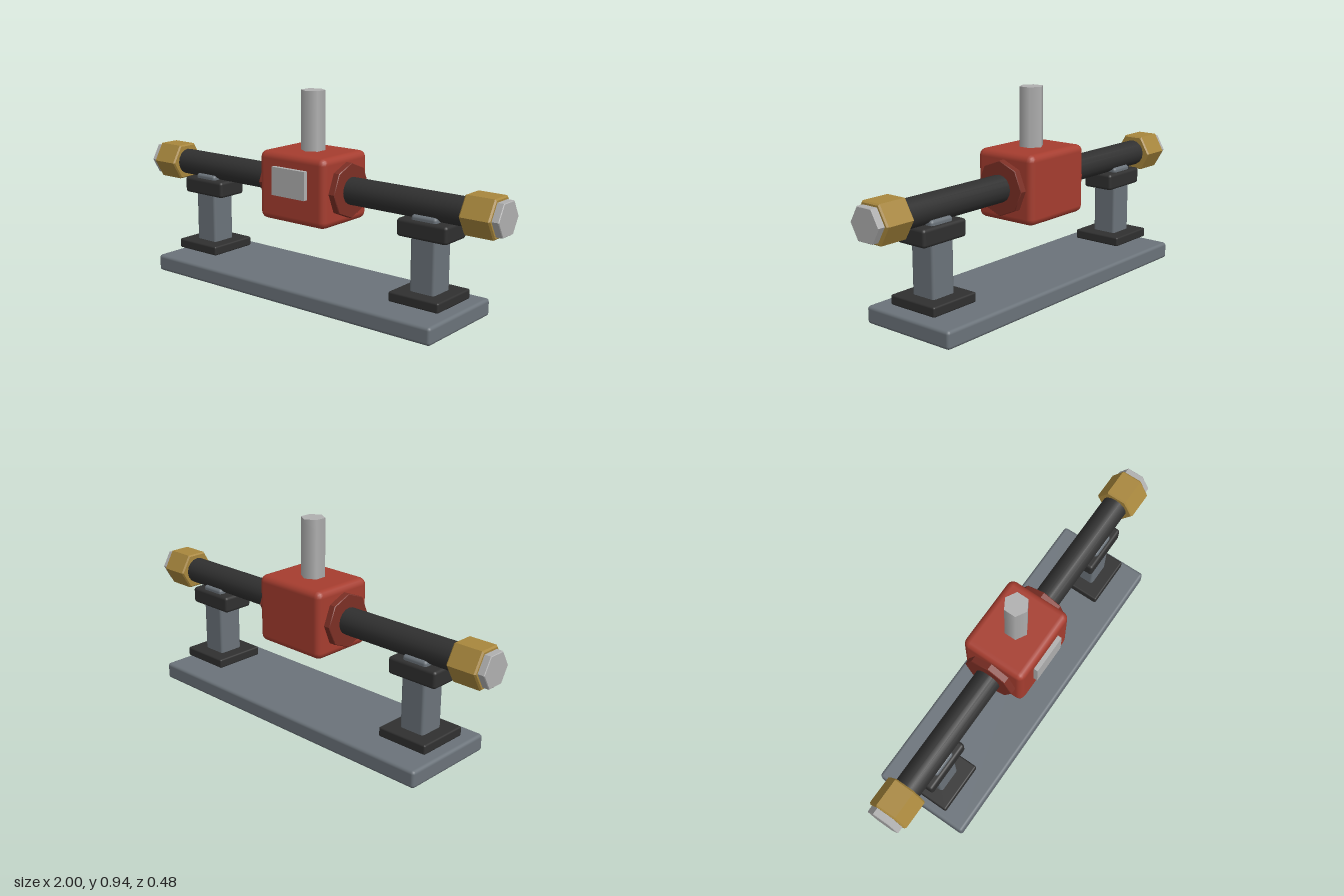
import * as THREE from 'three';
import { RoundedBoxGeometry } from 'three/addons/geometries/RoundedBoxGeometry.js';
import { toCreasedNormals } from 'three/addons/utils/BufferGeometryUtils.js';

const AXIS_Y = 0.515; // height of the pipe axis

function material(name, color) {
  const m = new THREE.MeshStandardMaterial({ color });
  m.name = name;
  return m;
}

export function createModel() {
  const red = material('body red', 0xa63d2f);
  const darkRed = material('flange dark red', 0x7c2f25);
  const slate = material('slate grey', 0x6b737a);
  const black = material('black', 0x303030);
  const brass = material('brass', 0xa8873d);
  const steel = material('light steel', 0xb0b0b0);

  const model = new THREE.Group();
  model.name = 'valveAssembly';

  function add(parent, name, geometry, mat, x = 0, y = 0, z = 0) {
    const mesh = new THREE.Mesh(geometry, mat);
    mesh.name = name;
    mesh.position.set(x, y, z);
    parent.add(mesh);
    return mesh;
  }

  // Rounded block from its size, bottom height and position
  function block(parent, name, mat, w, h, d, r, x, bottom, z = 0) {
    return add(parent, name, new RoundedBoxGeometry(w, h, d, 2, r), mat, x, bottom + h / 2, z);
  }

  // Chamfered prism lying along x, with a corner pointing to the front
  function prism(parent, name, mat, radius, sides, x0, x1, chamfer) {
    const h = Math.abs(x1 - x0) / 2;
    const profile = [
      [0, -h], [radius - chamfer, -h], [radius, -h + chamfer],
      [radius, h - chamfer], [radius - chamfer, h], [0, h],
    ].map(([r, y]) => new THREE.Vector2(r, y));
    const geometry = toCreasedNormals(new THREE.LatheGeometry(profile, sides), 0.6);
    geometry.rotateZ(-Math.PI / 2);
    return add(parent, name, geometry, mat, (x0 + x1) / 2, AXIS_Y, 0);
  }

  // Base and central body
  block(model, 'basePlate', slate, 1.6, 0.08, 0.477, 0.015, 0, 0);
  block(model, 'valveBody', red, 0.38, 0.317, 0.317, 0.032, 0, 0.356);
  add(model, 'frontPlate', new THREE.BoxGeometry(0.19, 0.13, 0.04), steel, 0, 0.546, 0.159);

  // Six-sided stem with softly shaded sides
  add(model, 'stem', new THREE.CylinderGeometry(0.056, 0.056, 0.345, 6), steel, 0, 0.7725, 0);

  // Pipe through the body
  const pipe = new THREE.CylinderGeometry(0.0625, 0.0625, 1.7, 16);
  pipe.rotateZ(Math.PI / 2);
  add(model, 'pipe', pipe, black, 0, AXIS_Y, 0);

  for (const [side, label] of [[1, 'left'], [-1, 'right']]) {
    // Pipe fittings
    prism(model, label + 'Flange', darkRed, 0.126, 8, side * 0.17, side * 0.222, 0.003);
    prism(model, label + 'Nut', brass, 0.097, 6, side * 0.825, side * 0.968, 0.007);
    prism(model, label + 'EndCap', steel, 0.081, 6, side * 0.94, side * 1.0, 0.003);

    // Support: foot, post and saddle
    const support = new THREE.Group();
    support.name = label + 'Support';
    support.position.x = side * 0.64;
    model.add(support);
    block(support, 'foot', black, 0.25, 0.045, 0.253, 0.008, 0, 0.1);
    block(support, 'post', slate, 0.125, 0.366, 0.126, 0.014, 0, 0.113);
    block(support, 'saddle', black, 0.25, 0.079, 0.158, 0.014, 0, 0.378);
  }

  return model;
}
